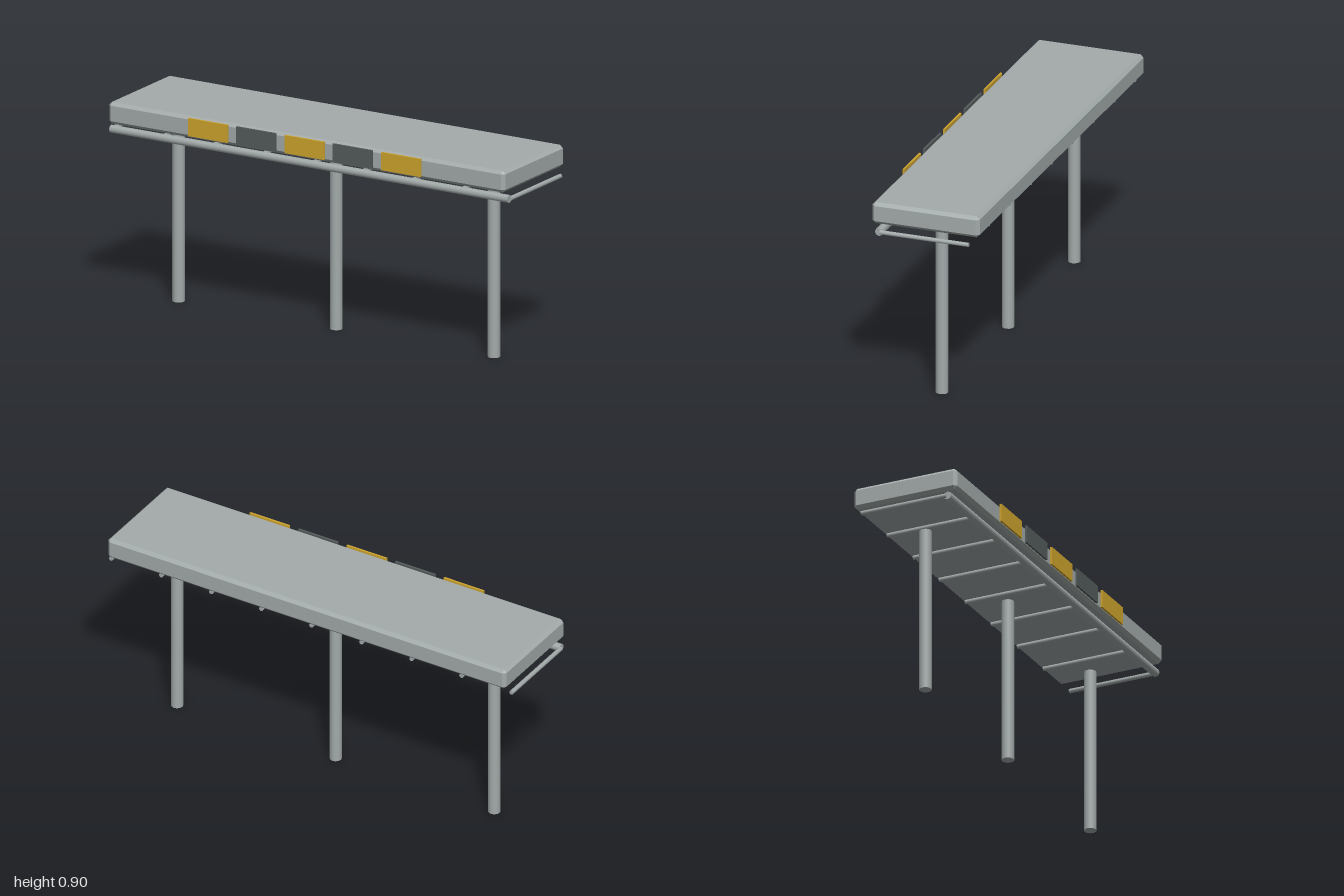
import * as THREE from 'three';
import { ConvexGeometry } from 'three/addons/geometries/ConvexGeometry.js';

const material = (name, color) => {
  const m = new THREE.MeshStandardMaterial({ color });
  m.name = name;
  return m;
};

// Box with every edge cut at 45 degrees
function chamferedBox(w, h, d, c) {
  const points = [];
  for (const sx of [-1, 1]) for (const sy of [-1, 1]) for (const sz of [-1, 1]) {
    for (let full = 0; full < 3; full++) {
      points.push(new THREE.Vector3(
        sx * (w / 2 - (full === 0 ? 0 : c)),
        sy * (h / 2 - (full === 1 ? 0 : c)),
        sz * (d / 2 - (full === 2 ? 0 : c))));
    }
  }
  return new ConvexGeometry(points);
}

export function createModel() {
  const model = new THREE.Group();
  model.name = 'platform';
  const steel = material('greySteel', 0xa3abaa);
  const yellow = material('warningYellow', 0xcfa52e);
  const dark = material('darkGrey', 0x555c5b);

  const add = (name, geometry, mat, x, y, z) => {
    const mesh = new THREE.Mesh(geometry, mat);
    mesh.name = name;
    mesh.position.set(x, y, z);
    model.add(mesh);
    return mesh;
  };

  // Deck slab
  add('deck', chamferedBox(1.97, 0.096, 0.485, 0.014), steel, 0, 0.855, -0.0055);

  // Three round legs
  const legGeometry = new THREE.CylinderGeometry(0.027, 0.027, 0.737, 12);
  for (const x of [-0.784, 0, 0.784]) add('leg', legGeometry, steel, x, 0.3685, -0.006);

  // Long rail under the front edge
  const rail = add('frontRail', new THREE.CylinderGeometry(0.018, 0.018, 1.98, 8), steel, 0, 0.776, 0.2);
  rail.rotation.z = Math.PI / 2;

  // Cross bars running back from the rail
  const barGeometry = new THREE.CylinderGeometry(0.01, 0.01, 0.4, 8).rotateX(Math.PI / 2);
  for (let i = 0; i < 9; i++) add('crossBar', barGeometry, steel, (i - 4) * 0.2475, 0.776, -0.005);

  // Alternating warning plates along the front
  const plateGeometry = new THREE.BoxGeometry(0.196, 0.079, 0.009);
  for (let i = 0; i < 5; i++) {
    add('warningPlate', plateGeometry, i % 2 ? dark : yellow, (i - 2) * 0.24, 0.8595, 0.2455);
  }
  return model;
}
